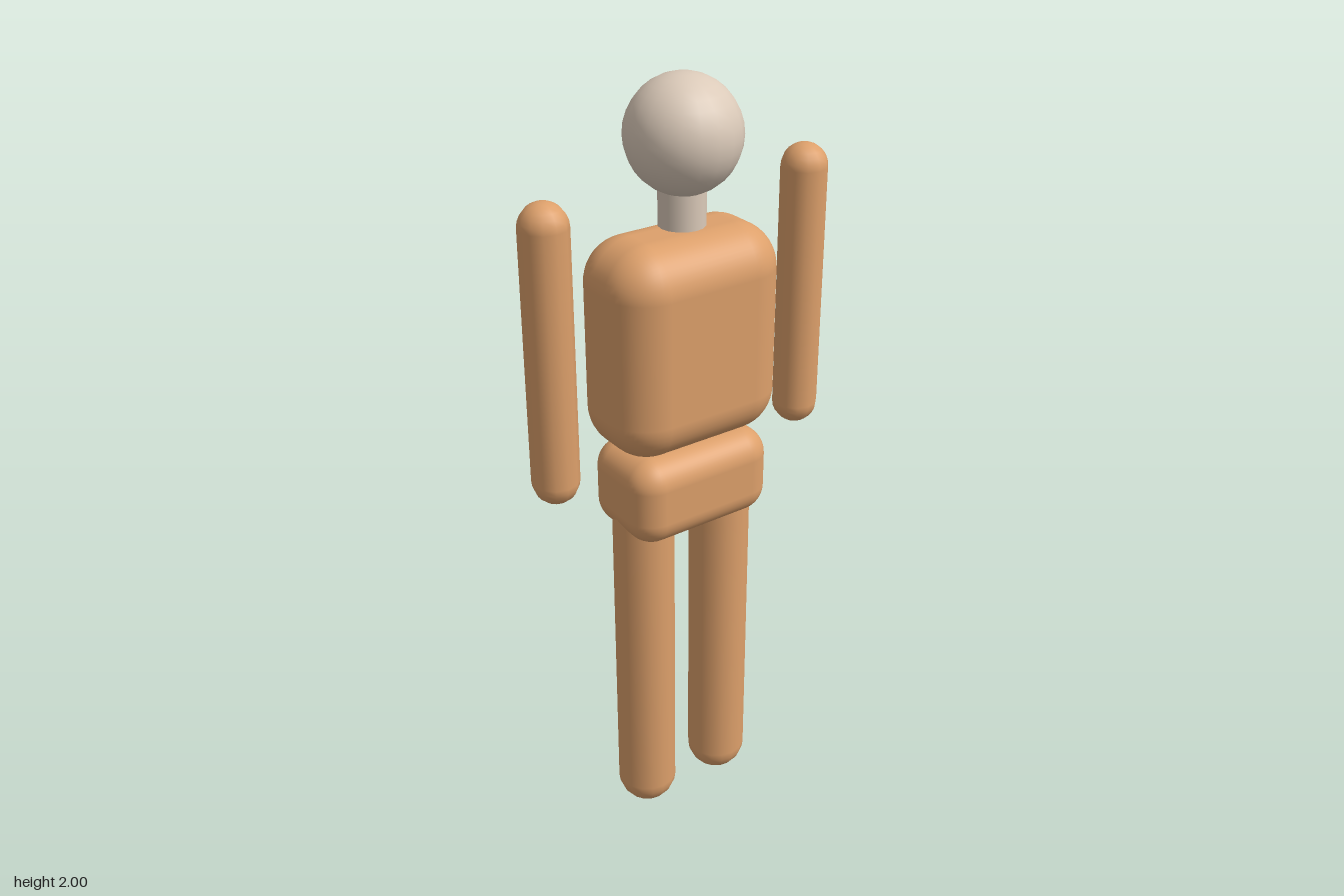
import * as THREE from 'three';
import { RoundedBoxGeometry } from 'three/addons/geometries/RoundedBoxGeometry.js';

export function createModel() {
  const model = new THREE.Group();
  model.name = 'mannequin';

  const wood = new THREE.MeshStandardMaterial({ color: 0xdda06b });
  wood.name = 'warm wood';
  const pale = new THREE.MeshStandardMaterial({ color: 0xdbcab9 });
  pale.name = 'pale beige';

  const add = (name, geometry, material, x, y, z) => {
    const mesh = new THREE.Mesh(geometry, material);
    mesh.name = name;
    mesh.position.set(x, y, z);
    model.add(mesh);
  };

  // Upright capsule limb spanning bottom to top
  const limb = (name, radius, bottom, top, sides, x, z) =>
    add(name, new THREE.CapsuleGeometry(radius, top - bottom - 2 * radius, 6, sides),
      wood, x, (bottom + top) / 2, z);

  // Head and neck
  add('head', new THREE.SphereGeometry(0.137, 20, 16), pale, 0, 1.863, 0.003);
  add('neck', new THREE.CylinderGeometry(0.057, 0.057, 0.14, 16), pale, 0, 1.722, -0.002);

  // Body blocks
  add('torso', new RoundedBoxGeometry(0.464, 0.533, 0.275, 6, 0.11), wood, 0, 1.374, -0.006);
  add('pelvis', new RoundedBoxGeometry(0.4, 0.23, 0.25, 6, 0.07), wood, 0, 0.993, -0.005);

  // Arms and legs, mirrored
  for (const [side, s] of [['left', 1], ['right', -1]]) {
    limb(side + 'Arm', 0.058, 1.038, 1.778, 12, s * 0.362, -0.006);
    limb(side + 'Leg', 0.079, 0, 1.02, 16, s * 0.118, -0.003);
  }

  return model;
}
